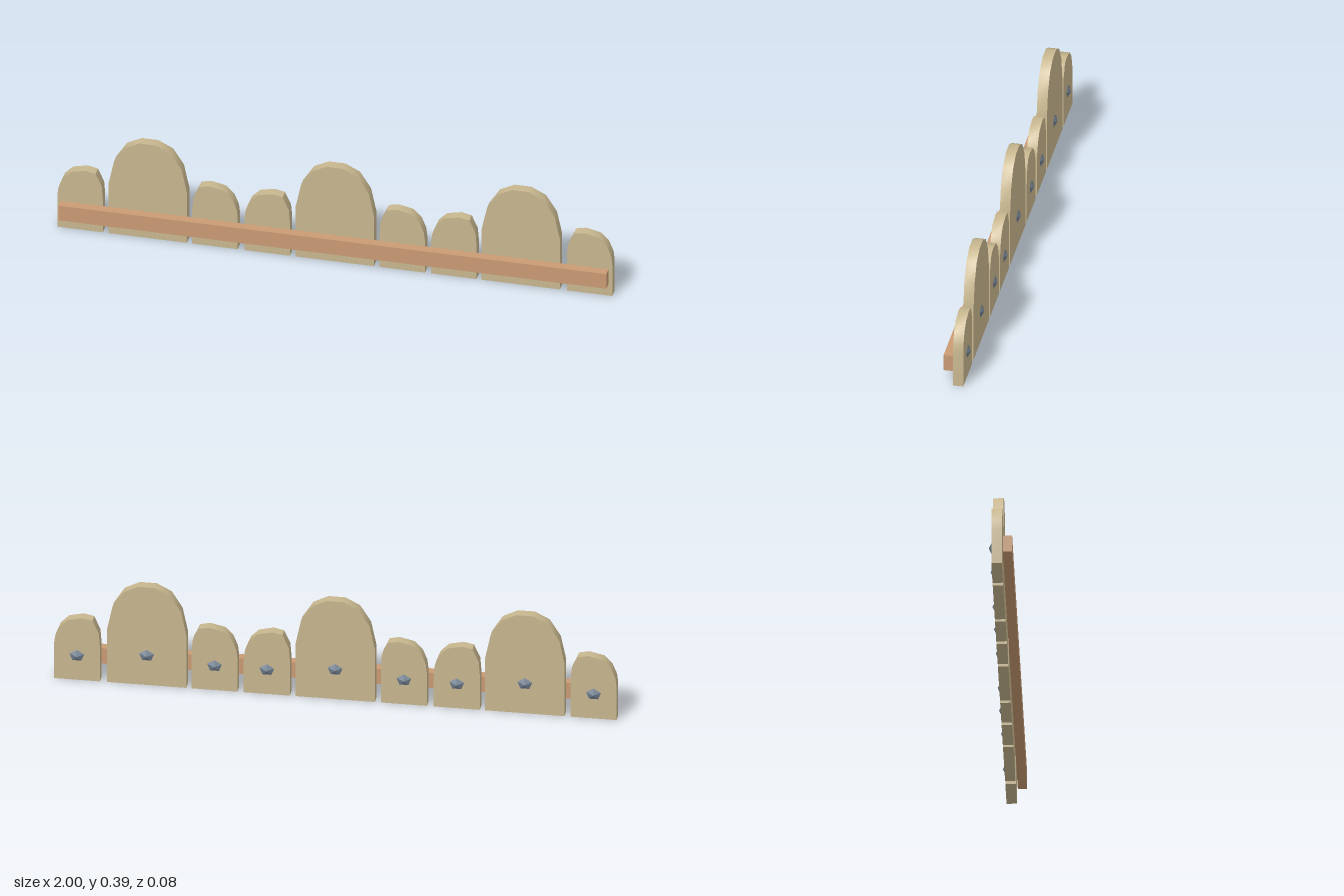
import * as THREE from 'three';
import { toCreasedNormals } from 'three/addons/utils/BufferGeometryUtils.js';

const plankWood = new THREE.MeshStandardMaterial({ color: 0xc8b78f });
plankWood.name = 'pale wood';
const railWood = new THREE.MeshStandardMaterial({ color: 0xca9b74 });
railWood.name = 'reddish wood';
const iron = new THREE.MeshStandardMaterial({ color: 0x6f7e8e });
iron.name = 'slate iron';

const BACK = -0.03, DEPTH = 0.037;

// Plank outlines, counter-clockwise from the bottom left corner
const tallOutline = [
  [-0.141, 0], [0.141, 0], [0.141, 0.21], [0.122, 0.3], [0.083, 0.362], [0.03, 0.389],
  [-0.03, 0.389], [-0.083, 0.362], [-0.122, 0.3], [-0.141, 0.21],
];
const shortOutline = [
  [-0.082, 0], [0.082, 0], [0.082, 0.14], [0.078, 0.19], [0.056, 0.239], [0.02, 0.247],
  [-0.033, 0.235], [-0.062, 0.205], [-0.078, 0.165], [-0.082, 0.13],
];
const mirrored = (outline) => outline.map(([x, y]) => [-x, y]).reverse();

function plankGeometry(outline) {
  const shape = new THREE.Shape(outline.map(([x, y]) => new THREE.Vector2(x, y)));
  const geometry = new THREE.ExtrudeGeometry(shape, { depth: DEPTH, bevelEnabled: false });
  return toCreasedNormals(geometry.translate(0, 0, BACK), 0.8);
}

export function createModel() {
  const group = new THREE.Group();
  group.name = 'picketFence';

  const tall = plankGeometry(tallOutline);
  const short = plankGeometry(shortOutline);
  const shortFlipped = plankGeometry(mirrored(shortOutline));

  // Five-sided bolt head pointing backwards
  const bolt = new THREE.ConeGeometry(0.023, 0.011, 5).toNonIndexed();
  bolt.computeVertexNormals();
  bolt.rotateX(-Math.PI / 2).scale(1.2, 1, 1);

  // Planks in a row, each with its bolt: [x, geometry, bolt height]
  const planks = [
    [-0.918, short, 0.096], [-0.674, tall, 0.117], [-0.432, shortFlipped, 0.096],
    [-0.244, short, 0.096], [0, tall, 0.117], [0.243, shortFlipped, 0.096],
    [0.429, short, 0.096], [0.67, tall, 0.117], [0.918, shortFlipped, 0.096],
  ];
  planks.forEach(([x, geometry, boltY], i) => {
    const plank = new THREE.Mesh(geometry, plankWood);
    plank.name = `plank${i + 1}`;
    plank.position.x = x;
    const head = new THREE.Mesh(bolt, iron);
    head.name = `bolt${i + 1}`;
    head.position.set(x, boltY, BACK - 0.0055);
    group.add(plank, head);
  });

  // Rail across the front
  const rail = new THREE.Mesh(new THREE.BoxGeometry(1.974, 0.061, 0.033), railWood);
  rail.name = 'rail';
  rail.position.set(0, 0.081, 0.0265);
  group.add(rail);

  return group;
}
